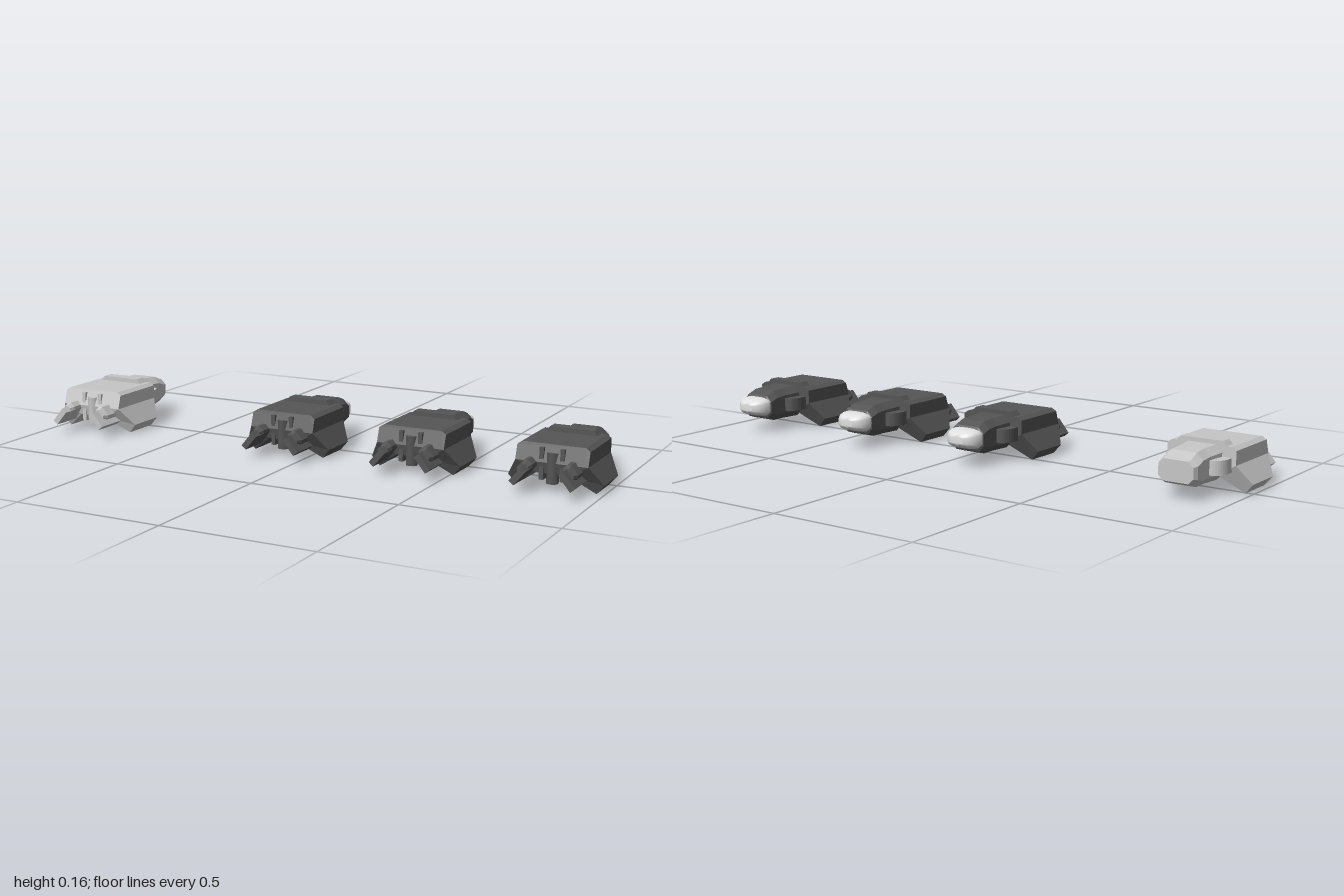
import * as THREE from 'three';
import { mergeVertices } from 'three/addons/utils/BufferGeometryUtils.js';

const dark = new THREE.MeshStandardMaterial({ color: 0x555555, name: 'darkHull' });
const light = new THREE.MeshStandardMaterial({ color: 0xc6c6c6, name: 'lightHull' });
const glow = new THREE.MeshStandardMaterial({ color: 0xdedede, name: 'engineGlass' });

// Skin closed rings (counter-clockwise seen from +z, ordered front to back) and cap both ends
function loft(rings) {
  const pos = [];
  const tri = (a, b, c) => pos.push(...a, ...b, ...c);
  for (let r = 0; r < rings.length - 1; r++) {
    const A = rings[r], B = rings[r + 1];
    A.forEach((p, i) => {
      const j = (i + 1) % A.length;
      tri(p, B[i], A[j]);
      tri(A[j], B[i], B[j]);
    });
  }
  const cap = (ring, flip) => {
    const flat = ring.map(p => new THREE.Vector2(p[0], p[1]));
    for (const [a, b, c] of THREE.ShapeUtils.triangulateShape(flat, [])) {
      if (flip) tri(ring[a], ring[c], ring[b]);
      else tri(ring[a], ring[b], ring[c]);
    }
  };
  cap(rings[0], false);
  cap(rings[rings.length - 1], true);
  const g = new THREE.BufferGeometry();
  g.setAttribute('position', new THREE.Float32BufferAttribute(pos, 3));
  g.computeVertexNormals();
  return g;
}

// Chamfered rectangle ring: half width, bottom, top, chamfer
function chamferRing(w, y0, y1, c, z) {
  const half = [[w - c, y0], [w, y0 + c], [w, y1 - c], [w - c, y1]];
  return [...half, ...half.map(([x, y]) => [-x, y]).reverse()].map(([x, y]) => [x, y, z]);
}

// Hull and drooping wings: each profile point has its own front and back z
function hullGeometry() {
  const half = [
    [0.05, 0.055, 0.16, -0.05],
    [0.128, 0, 0.12, -0.008],
    [0.153, 0.03, 0.125, -0.01],
    [0.115, 0.09, 0.168, -0.05],
    [0.115, 0.135, 0.153, -0.05],
    [0.1, 0.145, 0.15, -0.05],
  ];
  const all = [...half, ...half.map(([x, ...r]) => [-x, ...r]).reverse()];
  return loft([2, 3].map(k => all.map(p => [p[0], p[1], p[k]])));
}

// Rounded shoulder behind the hull
function shoulderGeometry() {
  const s = new THREE.Shape();
  s.moveTo(-0.1, 0.03);
  s.lineTo(-0.1, 0.075);
  s.quadraticCurveTo(-0.095, 0.118, -0.055, 0.118);
  s.lineTo(0.055, 0.118);
  s.quadraticCurveTo(0.095, 0.118, 0.1, 0.075);
  s.lineTo(0.1, 0.03);
  s.closePath();
  const g = new THREE.ExtrudeGeometry(s, { depth: 0.045, bevelEnabled: false, curveSegments: 8 });
  return g.rotateX(-Math.PI / 2).translate(0, 0.067, 0);
}

// Rounded engine cap tapering to the rear
function engineCapGeometry() {
  const profile = [[0.96, -0.18], [1, -0.192], [0.98, -0.207], [0.9, -0.22], [0.78, -0.232], [0.6, -0.241], [0.4, -0.247]];
  const rings = profile.map(([k, z]) => Array.from({ length: 24 }, (_, i) => {
    const a = i / 24 * Math.PI * 2, c = Math.cos(a), s = Math.sin(a);
    return [0.062 * k * Math.sign(c) * Math.abs(c) ** 0.6, 0.09 + 0.033 * k * Math.sign(s) * Math.abs(s) ** 0.6, z];
  }));
  const g = loft(rings);
  g.deleteAttribute('normal');
  const smooth = mergeVertices(g, 1e-5);
  smooth.computeVertexNormals();
  return smooth;
}

function makeShip(material, hasCap) {
  const ship = new THREE.Group();
  const add = (name, geometry, mat = material) => {
    const m = new THREE.Mesh(geometry, mat);
    m.name = name;
    ship.add(m);
    return m;
  };
  add('hullAndWings', hullGeometry());

  // Raised ridge across the rear of the deck
  add('deckRidge', loft([
    [[-0.085, 0.143], [0.085, 0.143], [0.07, 0.16], [-0.07, 0.16]].map(([x, y]) => [x, y, -0.01]),
    [[-0.085, 0.143], [0.085, 0.143], [0.07, 0.16], [-0.07, 0.16]].map(([x, y]) => [x, y, -0.05]),
  ]));

  // Engine neck
  const end = hasCap ? -0.192 : -0.205;
  add('engineNeck', loft([
    chamferRing(0.07, 0.037, 0.147, 0.022, -0.04),
    chamferRing(0.062, 0.037, 0.144, 0.022, -0.11),
    chamferRing(0.064, 0.037, 0.141, 0.022, -0.158),
    chamferRing(0.064, 0.047, 0.128, 0.02, -0.19),
    chamferRing(0.058, 0.055, 0.122, 0.016, end - 0.002),
  ]));
  add('shoulder', shoulderGeometry());
  if (hasCap) add('engineCap', engineCapGeometry(), glow);

  // Nose post with two flanking ribs
  add('nosePost', new THREE.CylinderGeometry(0.02, 0.02, 0.095, 8).translate(0, 0.073, 0.153));
  for (const s of [-1, 1]) {
    add('noseRib', new THREE.BoxGeometry(0.014, 0.1, 0.03).translate(s * 0.033, 0.085, 0.15));

    // Slanted forward guns with thicker housings
    const gun = new THREE.Group();
    gun.name = 'gun';
    gun.position.set(s * 0.077, 0.06, 0);
    gun.rotation.z = -s * 0.87;
    const barrel = new THREE.Mesh(new THREE.BoxGeometry(0.06, 0.02, 0.12), material);
    barrel.name = 'gunBarrel';
    barrel.position.z = 0.189;
    const housing = new THREE.Mesh(loft([
      chamferRing(0.018, -0.012, 0.012, 0.006, 0.22),
      chamferRing(0.026, -0.018, 0.018, 0.008, 0.203),
      chamferRing(0.026, -0.018, 0.018, 0.008, 0.13),
    ]), material);
    housing.name = 'gunHousing';
    housing.position.set(-s * 0.016, 0.006, 0);
    gun.add(barrel, housing);
    ship.add(gun);
  }
  return ship;
}

export function createModel() {
  const model = new THREE.Group();
  model.name = 'shipRow';
  [[-0.847, light, false], [-0.081, dark, true], [0.382, dark, true], [0.847, dark, true]].forEach(([x, mat, cap], i) => {
    const ship = makeShip(mat, cap);
    ship.name = 'ship' + (i + 1);
    ship.position.x = x;
    model.add(ship);
  });
  return model;
}
